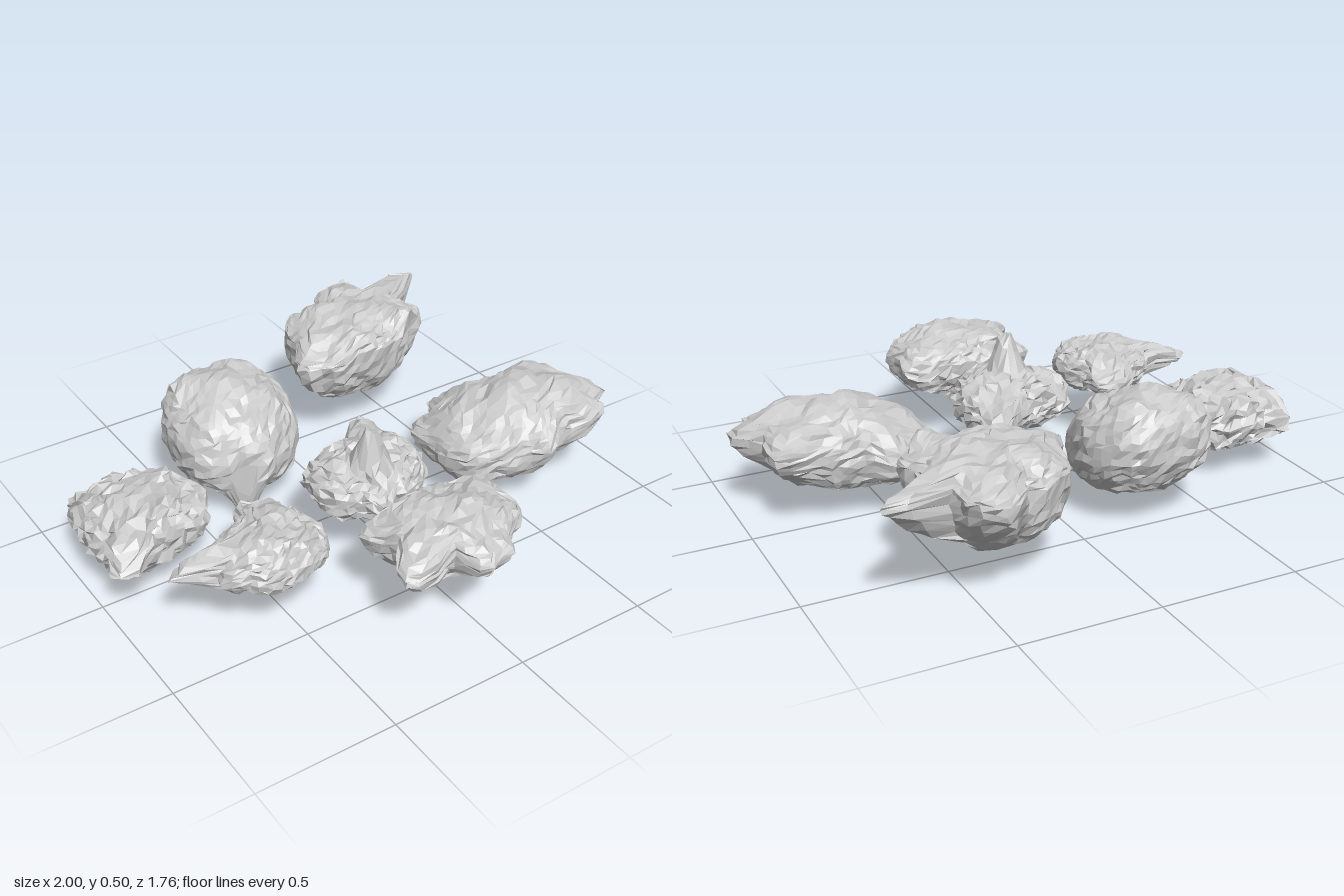
import * as THREE from 'three';
import { mergeVertices } from 'three/addons/utils/BufferGeometryUtils.js';

// Each rock: centre and radii in plan, heights [bottom, rim, top],
// side horns [x, z, half angle], spikes [x, z, y]
const ROCKS = [
  { name: 'leftmostRock', c: [-0.77, -0.14], r: [0.22, 0.2], y: [0.09, 0.2, 0.32], rough: 0.014,
    horns: [[-0.97, 0.12], [-0.95, -0.33], [-0.52, -0.13]] },
  { name: 'backRoundRock', c: [-0.28, -0.37], r: [0.24, 0.23], y: [0.09, 0.26, 0.46], tiltZ: -0.22,
    horns: [[-0.28, -0.11]], spikes: [[-0.33, -0.18, 0.005]] },
  { name: 'centreRock', c: [-0.04, 0.17], r: [0.21, 0.16], y: [0.16, 0.27, 0.38], rough: 0.012,
    horns: [[0.15, -0.14], [0.15, 0.02], [-0.12, 0.39], [-0.25, 0.08]], spikes: [[-0.06, 0.22, 0.5]] },
  { name: 'backRightRock', c: [0.38, -0.57], r: [0.25, 0.21], y: [0.13, 0.39, 0.47], tiltX: 0.07, peak: 1,
    horns: [[0.82, -0.77, 0.24], [0.55, -0.87], [0.46, -0.87], [0.07, -0.42], [0.66, -0.48], [0.15, -0.36]],
    spikes: [[0.54, -0.43, 0.485]] },
  { name: 'frontRightRock', c: [0.61, 0.14], r: [0.31, 0.21], y: [0.09, 0.25, 0.4], tiltX: 0.13, peak: 1.25,
    horns: [[0.47, -0.15], [1, 0.22, 0.28], [0.61, 0.4], [0.91, -0.03], [0.31, -0.05], [0.91, 0.33]],
    spikes: [[0.43, 0.14, 0.045], [0.6, 0.14, 0.42]] },
  { name: 'frontLeftRock', c: [-0.53, 0.34], r: [0.18, 0.16], y: [0.17, 0.27, 0.36],
    horns: [[-0.89, 0.28, 0.28], [-0.75, 0.4], [-0.41, 0.09], [-0.49, 0.07]] },
  { name: 'frontRock', c: [-0.01, 0.6], r: [0.23, 0.18], y: [0.175, 0.31, 0.41], tiltZ: 0.05,
    horns: [[-0.31, 0.78], [-0.05, 0.88], [0.05, 0.85], [0.24, 0.46], [-0.28, 0.48], [0.24, 0.66]] },
];

const SPIKE_RADIUS = 0.065;

const hash = (n) => { const s = Math.sin(n * 12.9898) * 43758.5453; return (s - Math.floor(s)) * 2 - 1; };

// Plan radius in one direction: a squarish ellipse, and how far horns draw it out
function reach({ c, r, horns }, dx, dz) {
  const base = Math.pow(Math.abs(dx / r[0]) ** 2.4 + Math.abs(dz / r[1]) ** 2.4, -1 / 2.4);
  let extra = 0;
  for (const [x, z, width = 0.36] of horns) {
    const length = Math.hypot(x - c[0], z - c[1]);
    const cos = THREE.MathUtils.clamp((dx * (x - c[0]) + dz * (z - c[1])) / length, -1, 1);
    const pull = Math.min(1, 1.25 * Math.max(0, 1 - Math.acos(cos) / width));
    extra = Math.max(extra, (length - base) * pull);
  }
  return { base, extra };
}

// A faceted rock: a subdivided cube rounded, then shaped to the rim and heights
function makeRock(rock, seed) {
  const { c: [cx, cz], y: [bottom, rim, top], tiltX = 0, tiltZ = 0, peak = 0.85, rough = 0.008, spikes = [] } = rock;
  const box = new THREE.BoxGeometry(2, 2, 2, 12, 12, 12);
  box.deleteAttribute('uv');
  box.deleteAttribute('normal');
  const geo = mergeVertices(box, 1e-4);
  const pos = geo.attributes.position;
  const v = new THREE.Vector3();
  for (let i = 0; i < pos.count; i++) {
    // even spacing over the sphere
    v.fromBufferAttribute(pos, i);
    v.set(...v.toArray().map((n) => Math.tan(n * Math.PI / 4))).normalize();
    const flat = Math.hypot(v.x, v.z);
    const dx = flat > 1e-5 ? v.x / flat : 1, dz = flat > 1e-5 ? v.z / flat : 0;
    const { base, extra } = reach(rock, dx, dz);
    const r = (base + extra * flat) * Math.pow(flat, 0.9);
    let x = cx + dx * r, z = cz + dz * r;
    // horns thin out towards their tips
    const power = (v.y > 0 ? peak : 0.85) * (1 + extra / base);
    const height = v.y > 0 ? top - rim : rim - bottom;
    let y = rim + Math.sign(v.y) * height * Math.pow(Math.abs(v.y), power) + tiltX * (x - cx) + tiltZ * (z - cz);
    // broad lumps and small chips
    y += 0.012 * Math.sin(x * 23 + seed) * Math.cos(z * 27 + seed * 2) + rough * hash(i + seed * 1000.3);
    x += rough * hash(i * 1.7 + seed * 77.1);
    z += rough * hash(i * 2.3 + seed * 31.7);
    // spikes on the upper or lower side
    for (const [sx, sz, sy] of spikes) {
      if ((sy > rim) !== (v.y > 0.1)) continue;
      y += (sy - y) * Math.min(1, 1.6 * Math.max(0, 1 - Math.hypot(x - sx, z - sz) / SPIKE_RADIUS));
    }
    pos.setXYZ(i, x, y, z);
  }
  const faceted = geo.toNonIndexed();
  faceted.computeVertexNormals();
  return faceted;
}

export function createModel() {
  const group = new THREE.Group();
  group.name = 'rockCluster';
  const stone = new THREE.MeshStandardMaterial({ color: 0xcccccc, flatShading: true });
  ROCKS.forEach((rock, i) => {
    const mesh = new THREE.Mesh(makeRock(rock, i + 1), stone);
    mesh.name = rock.name;
    group.add(mesh);
  });
  return group;
}
